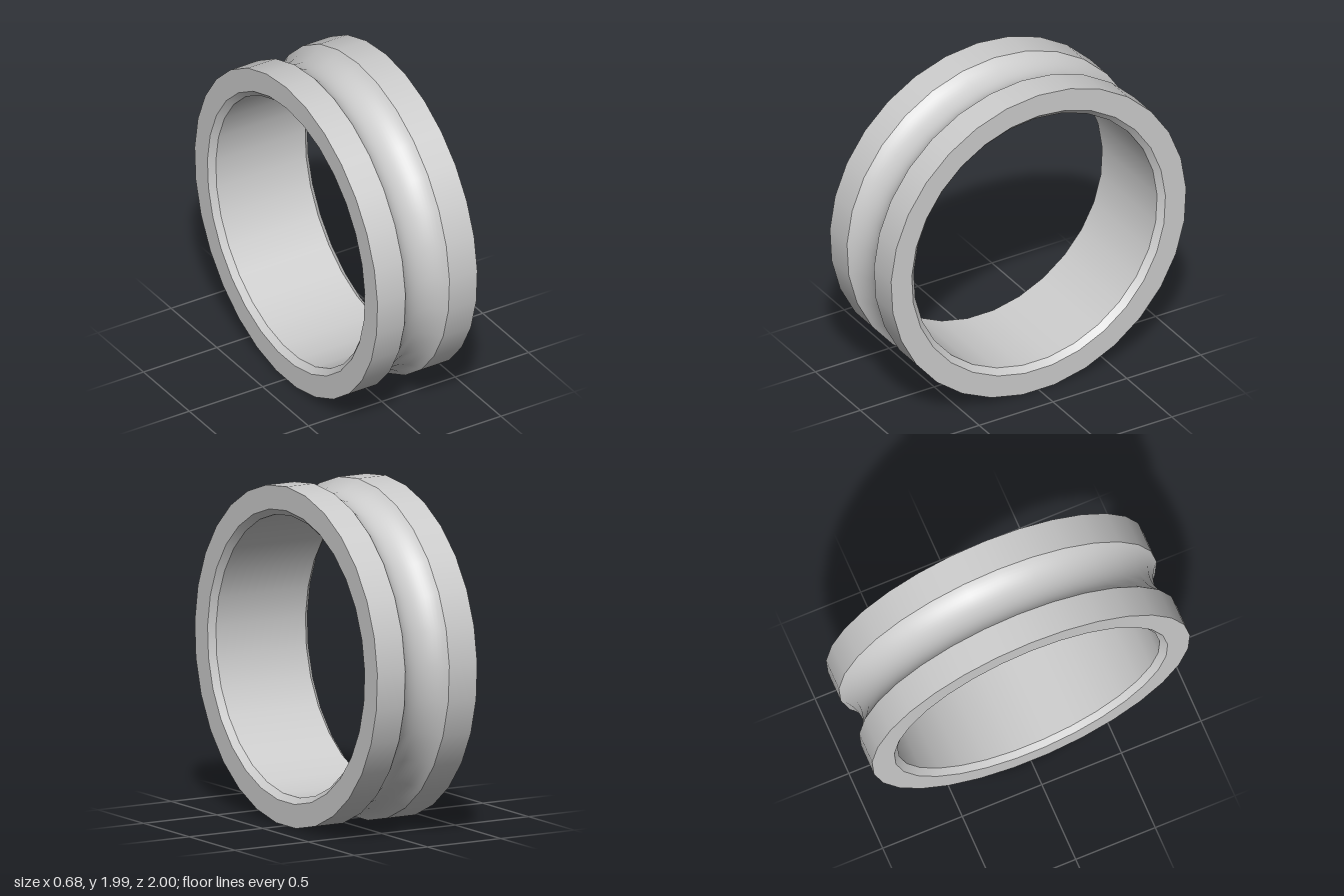
import * as THREE from 'three';

const SIDES = 29;
const OUTER = 1.0, HOLE = 0.825, BEVEL = 0.035;
const HALF_WIDTH = 0.34, GROOVE_HALF = 0.15, GROOVE_DEPTH = 0.07;

export function createModel() {
  const ring = new THREE.Group();
  ring.name = 'groovedRing';
  const metal = new THREE.MeshStandardMaterial({ color: 0xcccccc });
  metal.name = 'light grey metal';

  // Revolves [radius, axial position] points about the x axis, one vertex at the top
  function addBand(name, points) {
    const profile = points.map(([r, a]) => new THREE.Vector2(r, a));
    const geometry = new THREE.LatheGeometry(profile, SIDES, Math.PI / 2);
    geometry.rotateZ(Math.PI / 2);
    const mesh = new THREE.Mesh(geometry, metal);
    mesh.name = name;
    ring.add(mesh);
  }

  // Concave circular groove around the middle
  const arcRadius = (GROOVE_HALF ** 2 + GROOVE_DEPTH ** 2) / (2 * GROOVE_DEPTH);
  const arcAngle = Math.asin(GROOVE_HALF / arcRadius);
  const groove = [];
  for (let i = 0; i <= 16; i++) {
    const t = arcAngle * (i / 8 - 1);
    groove.push([OUTER - GROOVE_DEPTH + arcRadius * (1 - Math.cos(t)), arcRadius * Math.sin(t)]);
  }
  addBand('groove', groove);

  // Rims, flat end faces and inner bevels, mirrored on both sides
  const inset = HALF_WIDTH - BEVEL;
  for (const s of [-1, 1]) {
    const side = s < 0 ? 'left' : 'right';
    const addSide = (name, points) => {
      const mirrored = points.map(([r, a]) => [r, s * a]);
      addBand(side + name, s < 0 ? mirrored.reverse() : mirrored);
    };
    addSide('Rim', [[OUTER, GROOVE_HALF], [OUTER, HALF_WIDTH]]);
    addSide('EndFace', [[OUTER, HALF_WIDTH], [HOLE + BEVEL, HALF_WIDTH]]);
    addSide('Bevel', [[HOLE + BEVEL, HALF_WIDTH], [HOLE, inset]]);
  }

  // Inner wall of the hole
  addBand('bore', [[HOLE, inset], [HOLE, -inset]]);

  // Rest the lowest flat side on the ground
  ring.position.y = OUTER * Math.cos(Math.PI / SIDES);

  const model = new THREE.Group();
  model.name = 'model';
  model.add(ring);
  return model;
}
